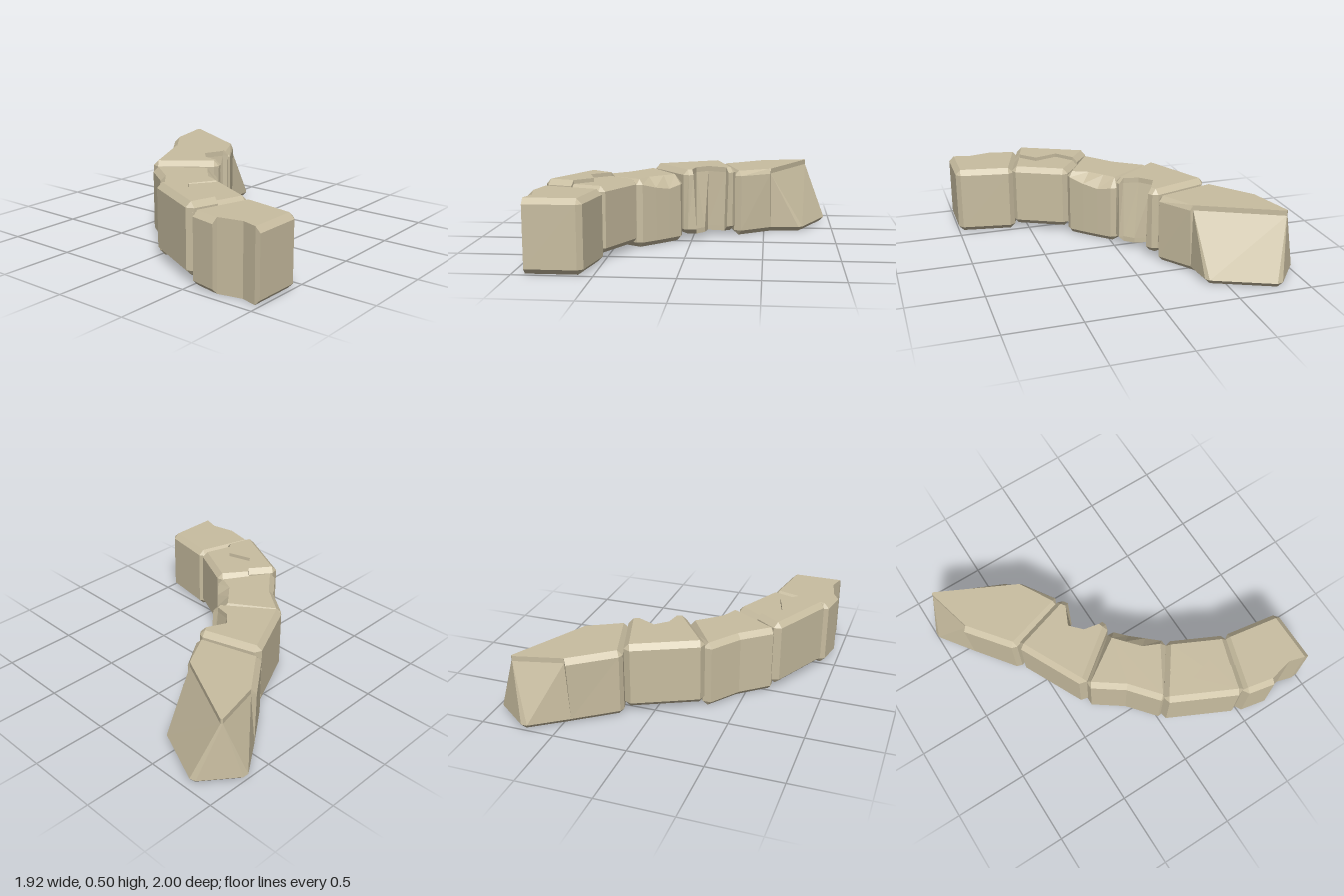
import * as THREE from 'three';

const BEVEL = 0.035;
const material = new THREE.MeshStandardMaterial({ color: 0xc8bda0 });

// Pushes every edge of a core outline outward, giving two points per corner.
// Point: [x, z, bevel of the edge that starts here, drop in height]
function pushOut(core, y) {
  const n = core.length;
  const edges = core.map(([x, z, b = BEVEL], i) => {
    const q = core[(i + 1) % n];
    const dx = q[0] - x, dz = q[1] - z, len = Math.hypot(dx, dz);
    return { dx: dx / len, dz: dz / len, b };
  });
  return core.flatMap(([x, z, , drop = 0], i) => {
    const e = edges[(i + n - 1) % n], f = edges[i];
    const h = y - drop;
    const p = [x + e.dz * e.b, h, z - e.dx * e.b];
    const q = [x + f.dz * f.b, h, z - f.dx * f.b];
    if (e.dx * f.dz - e.dz * f.dx >= 0) return [p, q];
    const m = p.map((v, k) => (v + q[k]) / 2); // inward corner: share one point
    return [m, m];
  });
}

// A bevelled block: bottom face, lower and upper shoulder rings, top face.
function stone(name, y0, y1, bottom, top = bottom, shoulder = top) {
  const flat = (core, y) => core.flatMap(([x, z]) => [[x, y, z], [x, y, z]]);
  const rings = [
    flat(bottom, y0),
    pushOut(bottom, y0 + BEVEL),
    pushOut(shoulder, y1 - BEVEL),
    flat(top, y1),
  ];
  const pos = [];
  const tri = (a, b, c) => pos.push(...a, ...b, ...c);
  for (let r = 0; r < 3; r++) {
    const lo = rings[r], hi = rings[r + 1];
    lo.forEach((_, i) => {
      const j = (i + 1) % lo.length;
      tri(lo[i], hi[i], lo[j]);
      tri(lo[j], hi[i], hi[j]);
    });
  }
  // Caps
  for (const [core, y, up] of [[bottom, y0, false], [top, y1, true]]) {
    const pts = core.map(([x, z]) => new THREE.Vector2(x, z));
    for (const f of THREE.ShapeUtils.triangulateShape(pts, [])) {
      let [a, b, c] = f.map((k) => pts[k]);
      const facesUp = (b.x - a.x) * (c.y - a.y) - (b.y - a.y) * (c.x - a.x) < 0;
      if (facesUp !== up) [b, c] = [c, b];
      tri(...[a, b, c].map((p) => [p.x, y, p.y]));
    }
  }
  const geometry = new THREE.BufferGeometry();
  geometry.setAttribute('position', new THREE.Float32BufferAttribute(pos, 3));
  geometry.computeVertexNormals();
  const mesh = new THREE.Mesh(geometry, material);
  mesh.name = name;
  return mesh;
}

export function createModel() {
  const group = new THREE.Group();
  group.name = 'curvedStoneRow';

  // End block with a broken outer side
  group.add(stone('frontEndStone', 0, 0.465, [
    [-0.89, 0.525], [-0.54, 0.63], [-0.595, 0.965], [-0.92, 0.965, 0], [-0.89, 0.86, 0], [-0.925, 0.7],
  ]));

  // Second block, with a thin raised layer broken off on one side
  group.add(stone('secondStone', 0.04, 0.475, [
    [-0.87, 0.46], [-0.67, 0.05], [-0.375, 0.265], [-0.525, 0.57],
  ]));
  group.add(stone('secondStoneRaisedLayer', 0.38, 0.5, [
    [-0.87, 0.46], [-0.67, 0.05], [-0.53, 0.152, 0], [-0.65, 0.25, 0], [-0.6, 0.41, 0], [-0.71, 0.509],
  ]));

  // Middle block, with a chipped inner top edge
  const back = [[-0.63, 0.03], [-0.445, -0.125], [-0.305, -0.32]];
  group.add(stone('middleStone', 0, 0.465,
    [...back, [-0.1, -0.02], [-0.17, 0.055], [-0.25, 0.135], [-0.33, 0.21]],
    [...back, [-0.12, -0.04], [-0.19, 0.02], [-0.28, 0.1], [-0.33, 0.21]],
    [...back, [-0.1, -0.02, BEVEL, 0.03], [-0.17, 0.055, BEVEL, 0.05], [-0.25, 0.135, BEVEL, 0.03], [-0.33, 0.21]]));

  // Fourth block, with a notch broken out of the inner side
  group.add(stone('notchedStone', 0.04, 0.495,
    [[-0.26, -0.36], [0.15, -0.56], [0.26, -0.205], [0.22, -0.18, 0], [0.1, -0.2, 0], [0.085, -0.12, 0], [0.03, -0.06], [-0.03, -0.055]],
    [[-0.26, -0.36], [0.15, -0.56], [0.26, -0.205], [0.23, -0.185, 0], [0.1, -0.245, 0], [0.02, -0.17, 0], [0.0, -0.065], [-0.03, -0.055]]));

  // Large end block, its far end cut to sloping planes
  group.add(stone('backEndStone', 0, 0.465,
    [[0.21, -0.61], [0.47, -0.805], [0.7, -0.97], [0.925, -0.795], [0.75, -0.405], [0.54, -0.385], [0.32, -0.235]],
    [[0.21, -0.61], [0.48, -0.82, 0], [0.8, -0.9, 0], [0.81, -0.89, 0], [0.545, -0.36, 0], [0.535, -0.355], [0.32, -0.235]]));

  return group;
}
